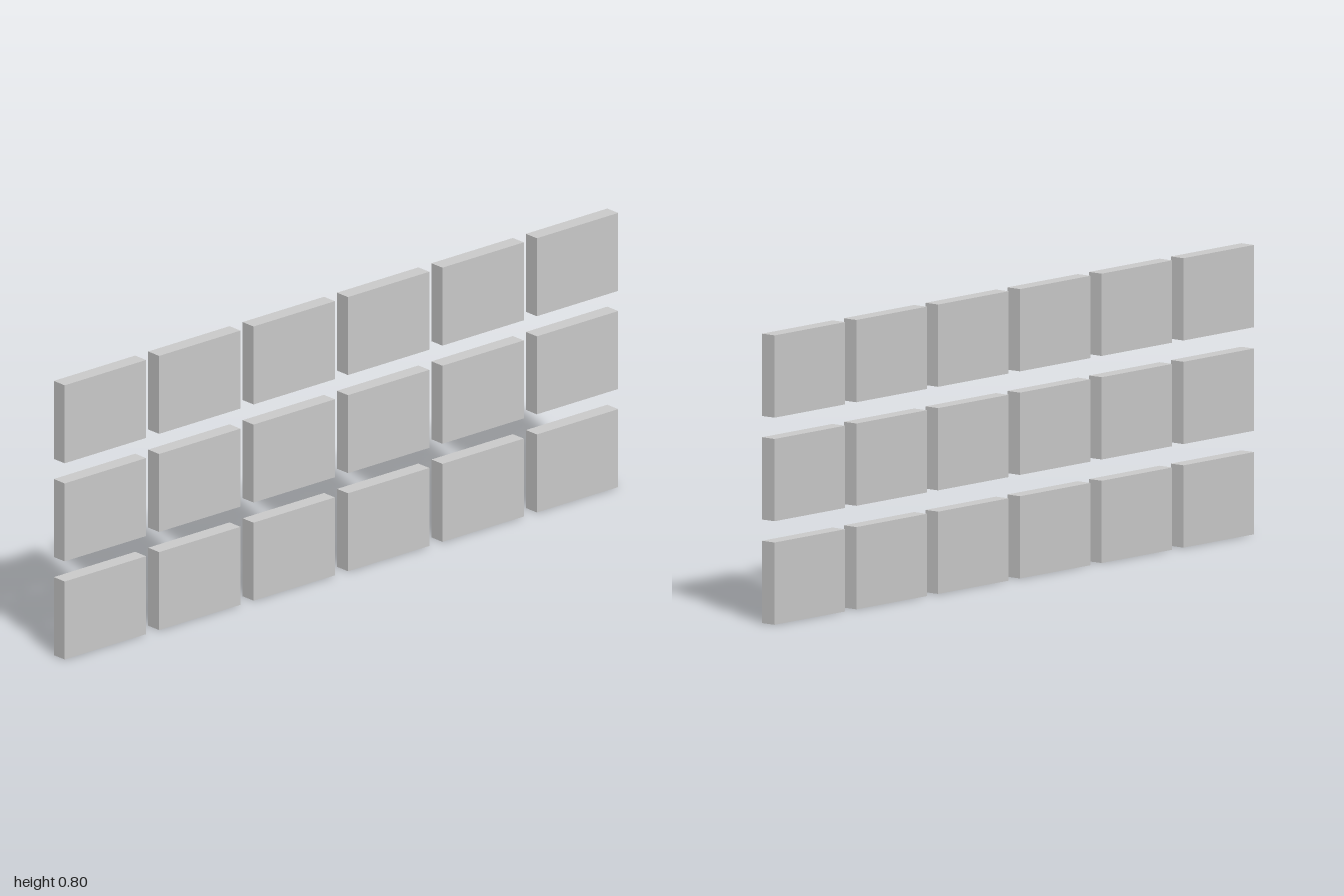
import * as THREE from 'three';

// A thin upright wall of separate rectangular panels, 3 rows by 6 columns
export function createModel() {
  const group = new THREE.Group();
  group.name = 'panelWall';

  const rows = 3, columns = 6;
  const thickness = 0.045, height = 0.2265, width = 0.294;
  const rowPitch = 0.285;
  const columnPitch = (2 - width) / (columns - 1);

  const material = new THREE.MeshStandardMaterial({ color: 0xcccccc, flatShading: true });
  const geometry = new THREE.BoxGeometry(thickness, height, width);

  for (let r = 0; r < rows; r++) {
    const row = new THREE.Group();
    row.name = `panelRow${r + 1}`;
    row.position.y = height / 2 + r * rowPitch;
    for (let c = 0; c < columns; c++) {
      const panel = new THREE.Mesh(geometry, material);
      panel.name = `panel${c + 1}`;
      panel.position.z = (c - (columns - 1) / 2) * columnPitch;
      row.add(panel);
    }
    group.add(row);
  }
  return group;
}
